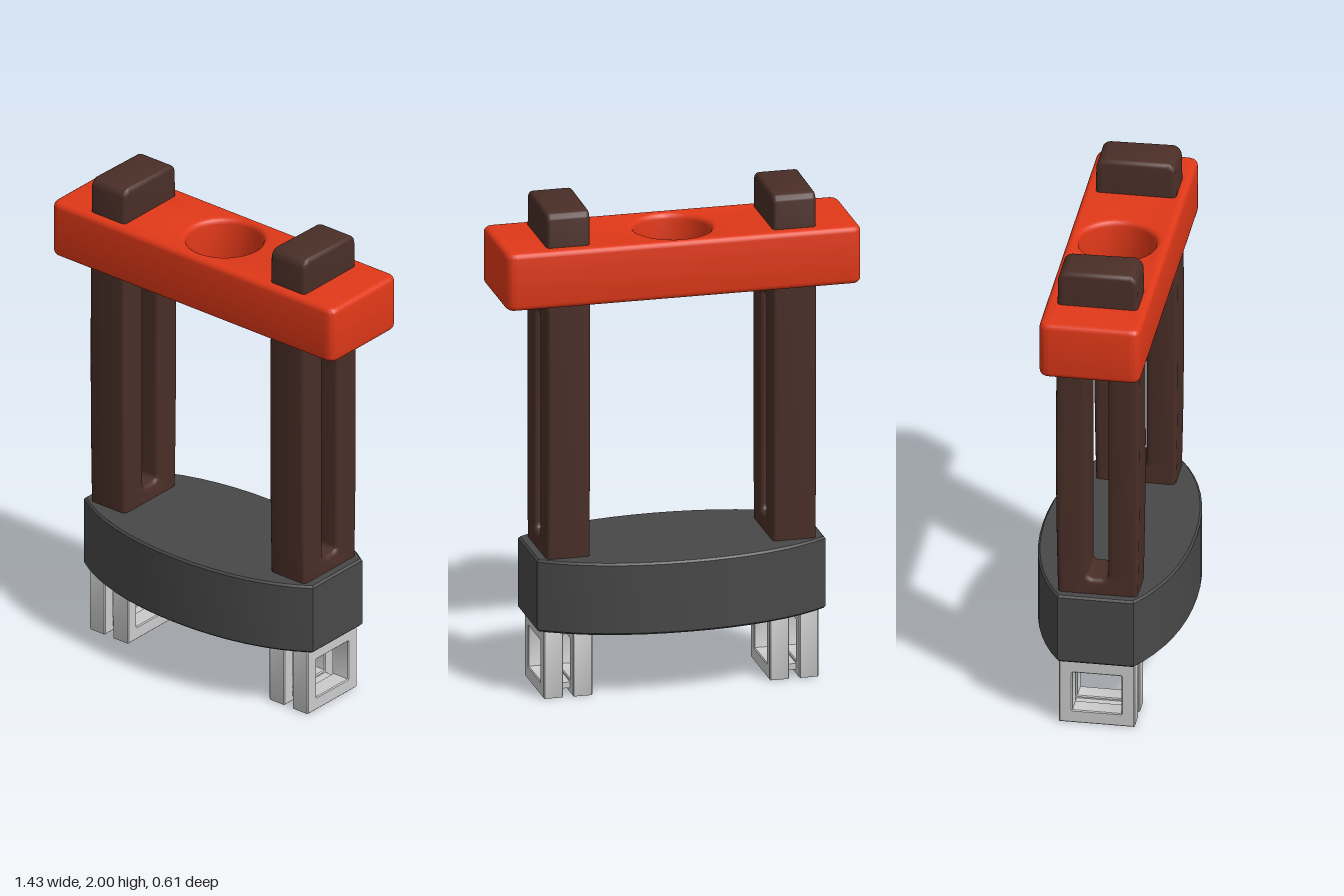
import * as THREE from 'three';
import { toCreasedNormals } from 'three/addons/utils/BufferGeometryUtils.js';

const material = (color) => new THREE.MeshStandardMaterial({ color });
const charcoal = material(0x484848);
const red = material(0xe03818);
const wood = material(0x4a2e27);
const grey = material(0xcccccc);

// rounded rectangle between two corners, as a Shape or a hole Path
function roundRect(path, x0, y0, x1, y1, r) {
  path.moveTo(x0 + r, y0);
  path.lineTo(x1 - r, y0);
  path.quadraticCurveTo(x1, y0, x1, y0 + r);
  path.lineTo(x1, y1 - r);
  path.quadraticCurveTo(x1, y1, x1 - r, y1);
  path.lineTo(x0 + r, y1);
  path.quadraticCurveTo(x0, y1, x0, y1 - r);
  path.lineTo(x0, y0 + r);
  path.quadraticCurveTo(x0, y0, x0 + r, y0);
  return path;
}

// bevelled slab whose total depth and outline include the bevel, starting at z = 0
function slab(shape, depth, bevel, segments = 3, curveSegments = 8) {
  const g = new THREE.ExtrudeGeometry(shape, {
    depth: depth - 2 * bevel, curveSegments, bevelEnabled: bevel > 0,
    bevelSize: bevel, bevelThickness: bevel, bevelOffset: -bevel, bevelSegments: segments,
  });
  return g.translate(0, 0, bevel);
}

function add(parent, name, geometry, mat, crease = 0.5) {
  const mesh = new THREE.Mesh(toCreasedNormals(geometry, crease), mat);
  mesh.name = name;
  parent.add(mesh);
  return mesh;
}

// lens-shaped base with flat ends
function baseGeometry() {
  const s = new THREE.Shape();
  s.moveTo(0.58, -0.15);
  s.lineTo(0.58, 0.15);
  s.bezierCurveTo(0.44, 0.25, 0.24, 0.305, 0, 0.305);
  s.bezierCurveTo(-0.24, 0.305, -0.44, 0.25, -0.58, 0.15);
  s.lineTo(-0.58, -0.15);
  s.bezierCurveTo(-0.44, -0.25, -0.24, -0.305, 0, -0.305);
  s.bezierCurveTo(0.24, -0.305, 0.44, -0.25, 0.58, -0.15);
  return slab(s, 0.295, 0.008, 1).rotateX(-Math.PI / 2).translate(0, 0.28, 0);
}

// crossbar with a flared round hole through the middle
function crossbarGeometry() {
  const s = roundRect(new THREE.Shape(), -0.715, -0.195, 0.715, 0.205, 0.045);
  s.holes.push(new THREE.Path().absarc(0, 0.01, 0.152, 0, Math.PI * 2, true));
  return slab(s, 0.235, 0.022, 4, 16).rotateX(-Math.PI / 2).translate(0, 1.62, 0);
}

// slightly bulging post with a long slot through its sides
function postGeometry() {
  const s = new THREE.Shape();
  s.moveTo(-0.155, 0.5);
  s.lineTo(0.155, 0.5);
  s.quadraticCurveTo(0.175, 1.15, 0.157, 1.96);
  s.quadraticCurveTo(0.155, 1.99, 0.125, 1.995);
  s.lineTo(-0.125, 2);
  s.quadraticCurveTo(-0.155, 1.99, -0.157, 1.96);
  s.quadraticCurveTo(-0.175, 1.15, -0.155, 0.5);
  s.holes.push(roundRect(new THREE.Path(), -0.042, 0.64, 0.042, 1.55, 0.025));
  return slab(s, 0.175, 0.016).rotateY(Math.PI / 2);
}

// square frame with a window, used in pairs for each foot
function frameGeometry() {
  const s = roundRect(new THREE.Shape(), -0.15, 0, 0.15, 0.285, 0.004);
  s.holes.push(roundRect(new THREE.Path(), -0.097, 0.055, 0.097, 0.222, 0.003));
  return slab(s, 0.078, 0.004, 1, 2).rotateY(Math.PI / 2);
}

export function createModel() {
  const model = new THREE.Group();
  model.name = 'slottedStand';
  add(model, 'base', baseGeometry(), charcoal);
  add(model, 'crossbar', crossbarGeometry(), red, 0.7);

  for (const [side, x] of [['left', 0.455], ['right', -0.455]]) {
    add(model, side + 'Post', postGeometry(), wood, 0.7).position.x = x - 0.0875;

    // foot: two window frames joined by thin bars across the gap
    const foot = new THREE.Group();
    foot.name = side + 'Foot';
    foot.position.x = x;
    add(foot, 'outerFrame', frameGeometry(), grey).position.x = 0.02;
    add(foot, 'innerFrame', frameGeometry(), grey).position.x = -0.098;
    for (const y of [0.033, 0.255]) {
      add(foot, 'joiningBar', new THREE.BoxGeometry(0.06, 0.024, 0.2), grey).position.y = y;
    }
    model.add(foot);
  }
  return model;
}
